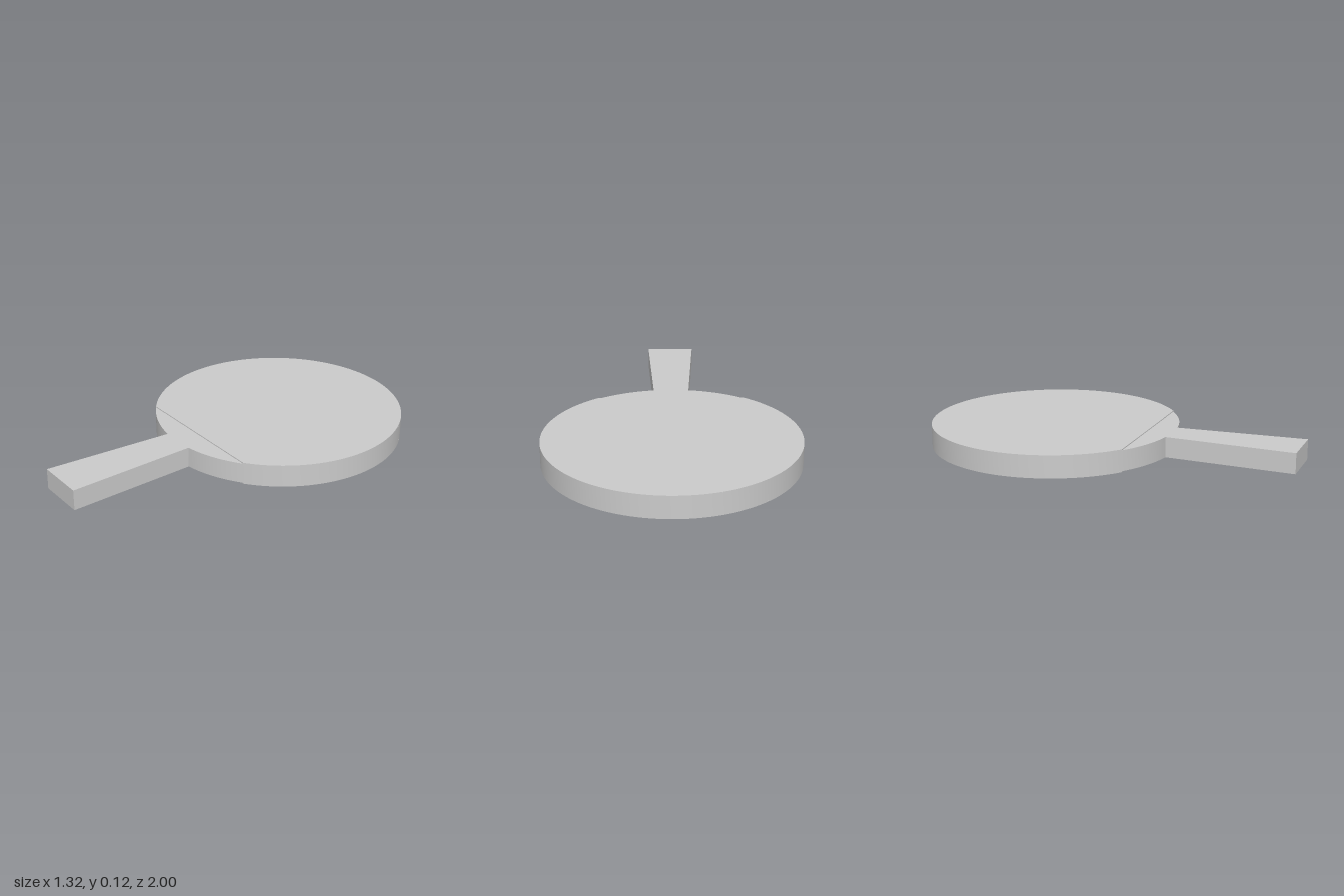
import * as THREE from 'three';
import { toCreasedNormals } from 'three/addons/utils/BufferGeometryUtils.js';

const RADIUS = 0.66, CENTER = 0.34; // blade circle, shape y = -z
const HEIGHT = 0.118, SHEET = 0.005;

// Outline of the blade circle, open by halfAngle on each side of the handle
function bladeArc(halfAngle) {
  const shape = new THREE.Shape();
  shape.absarc(0, CENTER, RADIUS, -Math.PI / 2 + halfAngle, Math.PI * 1.5 - halfAngle, false);
  return shape;
}

// Lays a flat outline on the ground plane and gives it thickness
function slab(name, shape, y, depth, material) {
  let geometry = new THREE.ExtrudeGeometry(shape, { depth, bevelEnabled: false, curveSegments: 96 });
  geometry.rotateX(-Math.PI / 2);
  geometry = toCreasedNormals(geometry, 0.5);
  const mesh = new THREE.Mesh(geometry, material);
  mesh.name = name;
  mesh.position.y = y;
  return mesh;
}

export function createModel() {
  const group = new THREE.Group();
  group.name = 'tableTennisPaddle';
  const material = new THREE.MeshStandardMaterial({ color: 0xcccccc });

  // Wooden core: round blade and flared handle in one piece
  const core = bladeArc(Math.asin(0.095 / RADIUS));
  core.lineTo(-0.13, -1);
  core.lineTo(0.13, -1);
  core.closePath();
  group.add(slab('bladeAndHandle', core, SHEET, HEIGHT - 2 * SHEET, material));

  // Rubber sheets on both faces, cut straight above the handle
  const sheet = bladeArc(Math.acos((CENTER + 0.19) / RADIUS));
  sheet.closePath();
  group.add(slab('topRubber', sheet, HEIGHT - SHEET, SHEET, material));
  group.add(slab('bottomRubber', sheet, 0, SHEET, material));

  return group;
}
